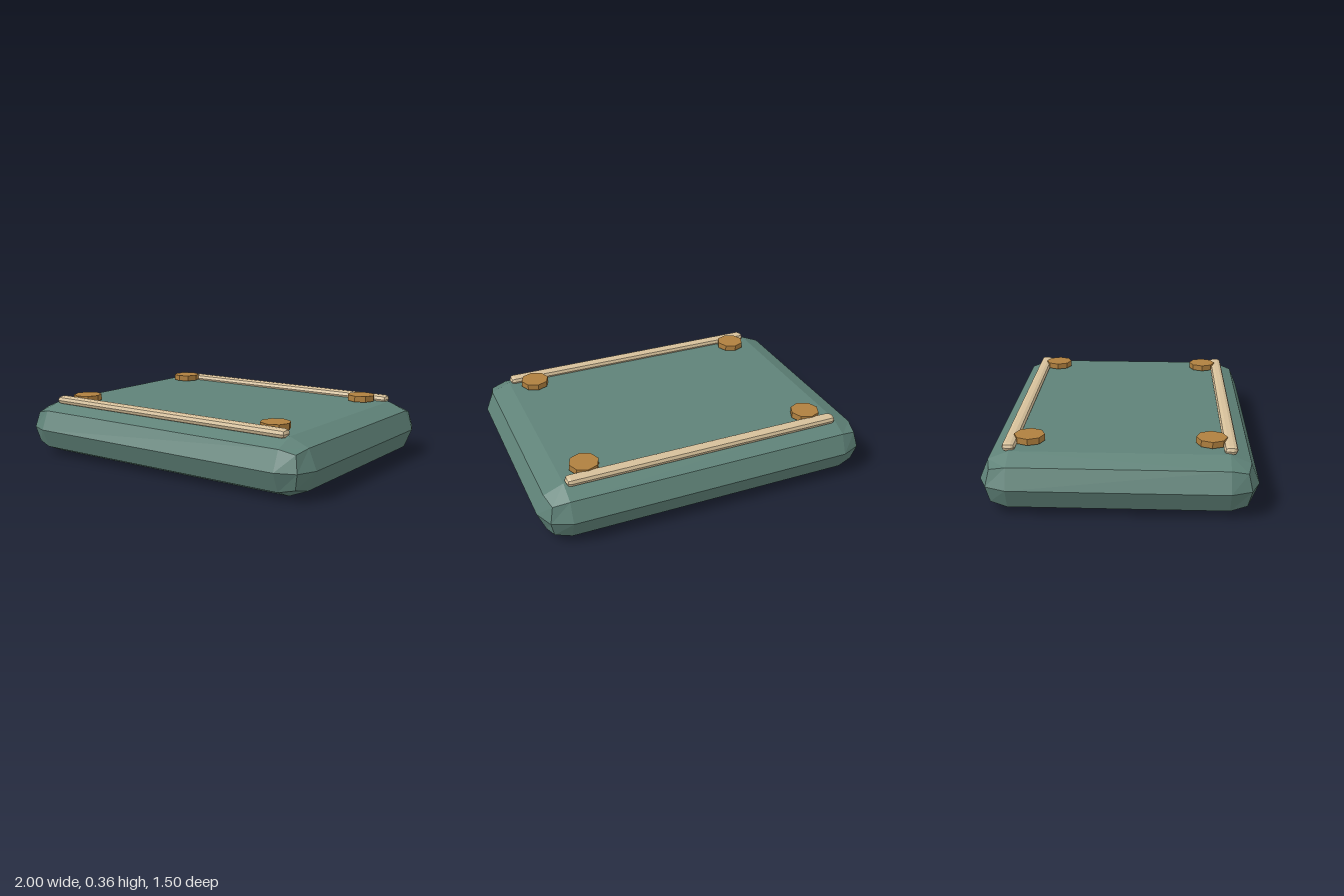
import * as THREE from 'three';
import { RoundedBoxGeometry } from 'three/addons/geometries/RoundedBoxGeometry.js';

const paint = (name, color) => {
  const m = new THREE.MeshStandardMaterial({ color, flatShading: true });
  m.name = name;
  return m;
};

export function createModel() {
  const group = new THREE.Group();
  group.name = 'cushionPad';
  const green = paint('sageGreen', 0x5f8278);
  const cream = paint('creamPiping', 0xd6c09a);
  const ochre = paint('ochreButton', 0xb0803f);

  const add = (name, geometry, material, x, y, z) => {
    const mesh = new THREE.Mesh(geometry, material);
    mesh.name = name;
    mesh.position.set(x, y, z);
    group.add(mesh);
  };

  // pad with coarsely rounded edges
  add('pad', new RoundedBoxGeometry(2, 0.32, 1.5, 1, 0.16), green, 0, 0.16, 0);

  const pipingGeometry = new RoundedBoxGeometry(1.66, 0.05, 0.075, 1, 0.025);
  const buttonGeometry = new THREE.CylinderGeometry(0.085, 0.085, 0.036, 8);

  for (const [end, sz] of [['Front', 1], ['Back', -1]]) {
    // piping strip along the long edge
    add(`piping${end}`, pipingGeometry, cream, 0, 0.331, sz * 0.595);
    // button near each corner
    for (const [side, sx] of [['Left', 1], ['Right', -1]]) {
      add(`button${end}${side}`, buttonGeometry, ochre, sx * 0.693, 0.345, sz * 0.497);
    }
  }
  return group;
}
